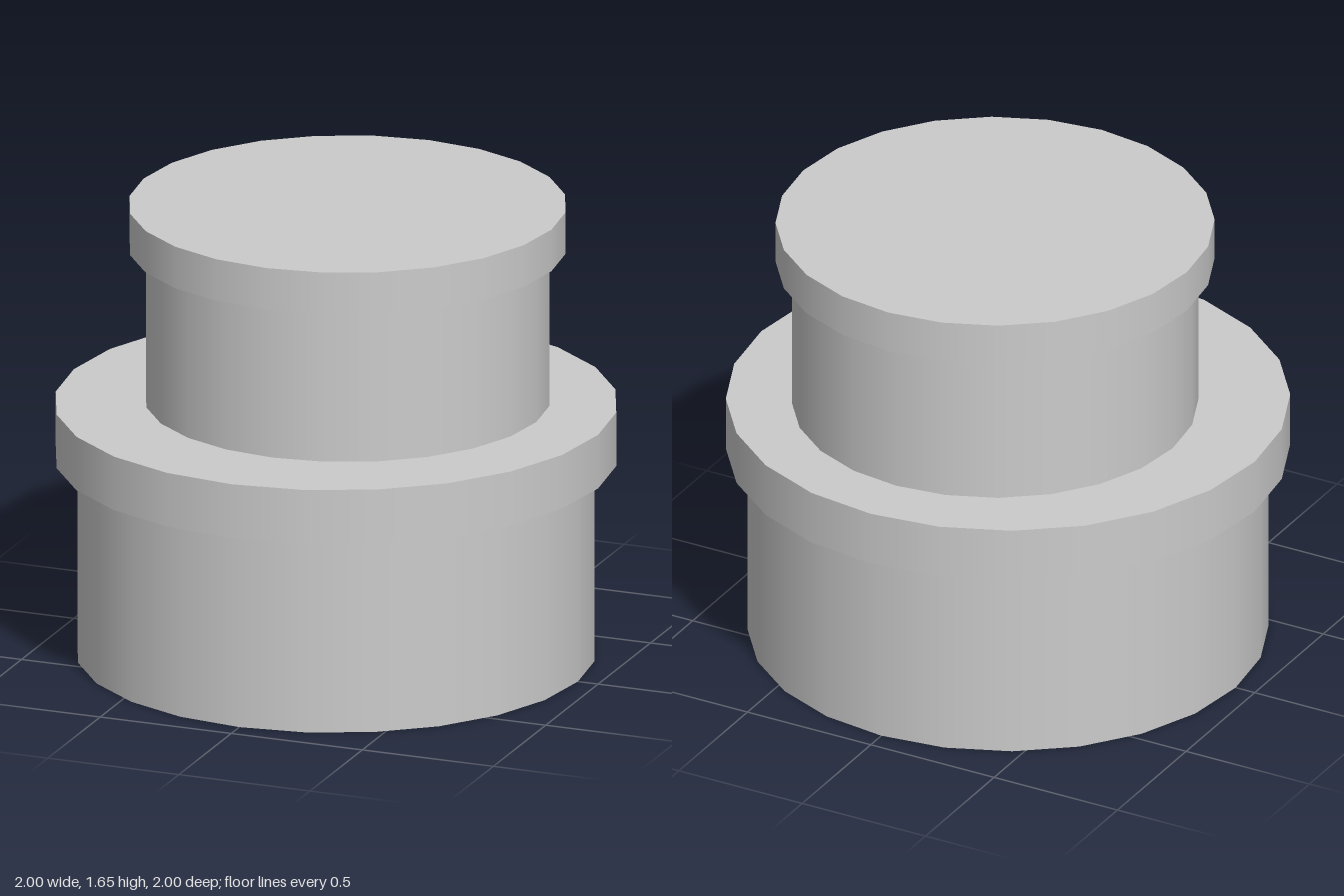
import * as THREE from 'three';

const SIDES = 24;

export function createModel() {
  const group = new THREE.Group();
  const material = new THREE.MeshStandardMaterial({ color: 0xcccccc });

  // Upright closed drum between two heights
  function drum(name, radius, bottom, top, x = 0, z = 0) {
    const geometry = new THREE.CylinderGeometry(radius, radius, top - bottom, SIDES);
    const mesh = new THREE.Mesh(geometry, material);
    mesh.name = name;
    mesh.position.set(x, (bottom + top) / 2, z);
    group.add(mesh);
  }

  // Large round box with its lid
  drum('lowerBox', 0.923, 0, 0.73);
  drum('lowerLid', 1, 0.73, 0.93);

  // Smaller round box stacked slightly off centre
  drum('upperBox', 0.72, 0.93, 1.5, 0.023, -0.053);
  drum('upperLid', 0.778, 1.5, 1.655, 0.023, -0.053);

  return group;
}
